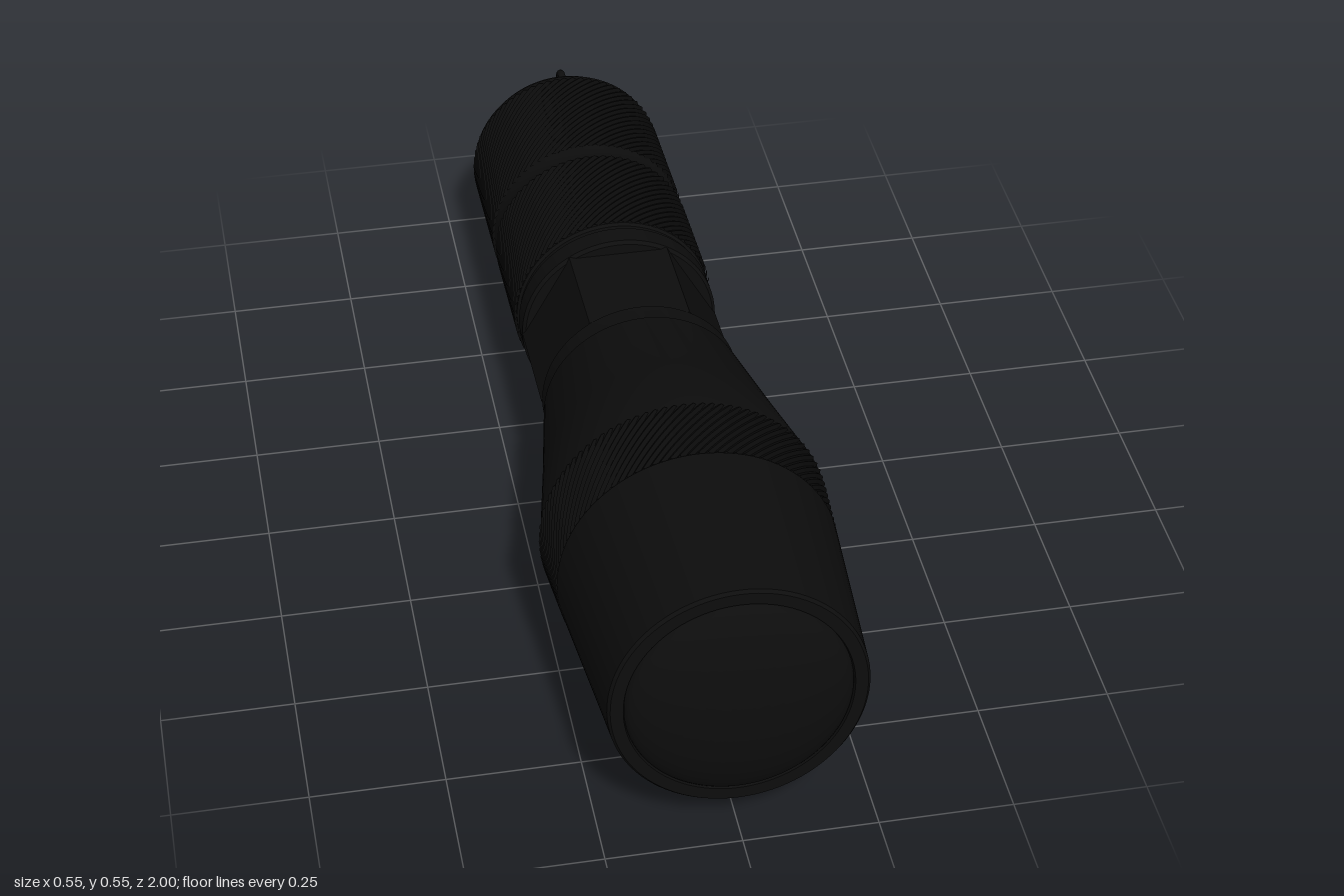
import * as THREE from 'three';
import { toCreasedNormals } from 'three/addons/utils/BufferGeometryUtils.js';

const dark = new THREE.MeshStandardMaterial({ color: 0x0d0d0d });
const knurlMat = new THREE.MeshStandardMaterial({ color: 0x0a0a0a, flatShading: true });

function add(parent, name, geometry, material = dark) {
  const mesh = new THREE.Mesh(geometry, material);
  mesh.name = name;
  parent.add(mesh);
  return mesh;
}

// Turned part along the z axis; profile is [z, radius] from back to front
function turned(profile, segments = 96) {
  const pts = profile.map(([z, r]) => new THREE.Vector2(r, z));
  return toCreasedNormals(new THREE.LatheGeometry(pts, segments).rotateX(Math.PI / 2), 0.45);
}

// Band of diamond knurling: every second grid point is raised
function knurl(z0, z1, r0, r1, teeth, depth) {
  const segs = teeth * 2;
  const rows = Math.round((z1 - z0) / 0.009);
  const g = new THREE.CylinderGeometry(1, 1, 1, segs, rows, true);
  const p = g.attributes.position;
  for (let i = 0; i < p.count; i++) {
    const t = p.getY(i) + 0.5;
    const col = i % (segs + 1), row = Math.floor(i / (segs + 1));
    const r = r0 + (r1 - r0) * t + ((col + row) % 2 ? -depth : 0);
    p.setXYZ(i, p.getX(i) * r, z0 + (z1 - z0) * t, p.getZ(i) * r);
  }
  g.rotateX(Math.PI / 2);
  g.computeVertexNormals();
  return g;
}

export function createModel() {
  const model = new THREE.Group();
  model.name = 'flashlight';

  // Body rests on its widest band and its tail, so the axis tilts slightly
  const body = new THREE.Group();
  body.name = 'body';
  body.position.y = 0.2565;
  body.rotation.x = -0.0525;
  model.add(body);

  // Head: collar, flare, band seat, bezel and rim
  add(body, 'head', turned([
    [-0.01, 0.1], [-0.01, 0.192], [-0.005, 0.196], [0.035, 0.196], [0.04, 0.2],
    [0.25, 0.236], [0.44, 0.271], [0.455, 0.268], [0.575, 0.258], [0.582, 0.263],
    [0.945, 0.235], [0.951, 0.23], [0.951, 0.207], [0.94, 0.205], [0.94, 0.19],
  ]));
  add(body, 'headGrip', knurl(0.44, 0.58, 0.274, 0.264, 96, 0.005), knurlMat);

  // Domed lens
  const dome = [];
  for (let i = 0; i <= 12; i++) {
    const a = (i / 12) * Math.PI / 2;
    dome.push([0.945 + 0.052 * Math.sin(a) ** 1.2, 0.205 * Math.cos(a)]);
  }
  add(body, 'lens', turned(dome));

  // Hexagonal neck with flats on top and bottom
  const neck = new THREE.CylinderGeometry(0.198, 0.198, 0.24, 6, 1, false, Math.PI / 6);
  neck.rotateX(Math.PI / 2).translate(0, 0, -0.125);
  add(body, 'neck', toCreasedNormals(neck, 0.4));

  // Handle tube with grooves and a chamfered end
  add(body, 'handle', turned([
    [-0.935, 0], [-0.935, 0.135], [-0.94, 0.14], [-0.94, 0.185], [-0.915, 0.198],
    [-0.9, 0.199], [-0.62, 0.199], [-0.61, 0.196], [-0.575, 0.196], [-0.565, 0.199],
    [-0.31, 0.199], [-0.305, 0.194], [-0.295, 0.194], [-0.29, 0.198],
    [-0.245, 0.198], [-0.238, 0.192], [-0.238, 0.1],
  ]));
  [[-0.9, -0.615], [-0.57, -0.31]].forEach(([a, b]) =>
    add(body, 'handleGrip', knurl(a, b, 0.204, 0.204, 70, 0.005), knurlMat));

  // Tail cap rings and push button
  for (const r of [0.135, 0.112]) {
    const ring = add(body, 'tailRing', new THREE.TorusGeometry(r, 0.005, 8, 64));
    ring.position.z = -0.938;
  }
  add(body, 'tailButton', turned([
    [-0.947, 0], [-0.945, 0.06], [-0.941, 0.09], [-0.93, 0.1],
  ], 64));

  // Lanyard ring hanging from a small eyelet
  const eyelet = add(model, 'lanyardEyelet', new THREE.TorusGeometry(0.024, 0.008, 10, 24));
  eyelet.position.set(0, 0.374, -0.945);
  eyelet.rotation.y = Math.PI / 2;
  const lanyard = add(model, 'lanyardRing', new THREE.TorusGeometry(0.143, 0.01, 12, 64));
  lanyard.position.set(0, 0.222, -0.973);
  lanyard.rotation.x = 0.11;
  lanyard.scale.y = 1.07;

  return model;
}
